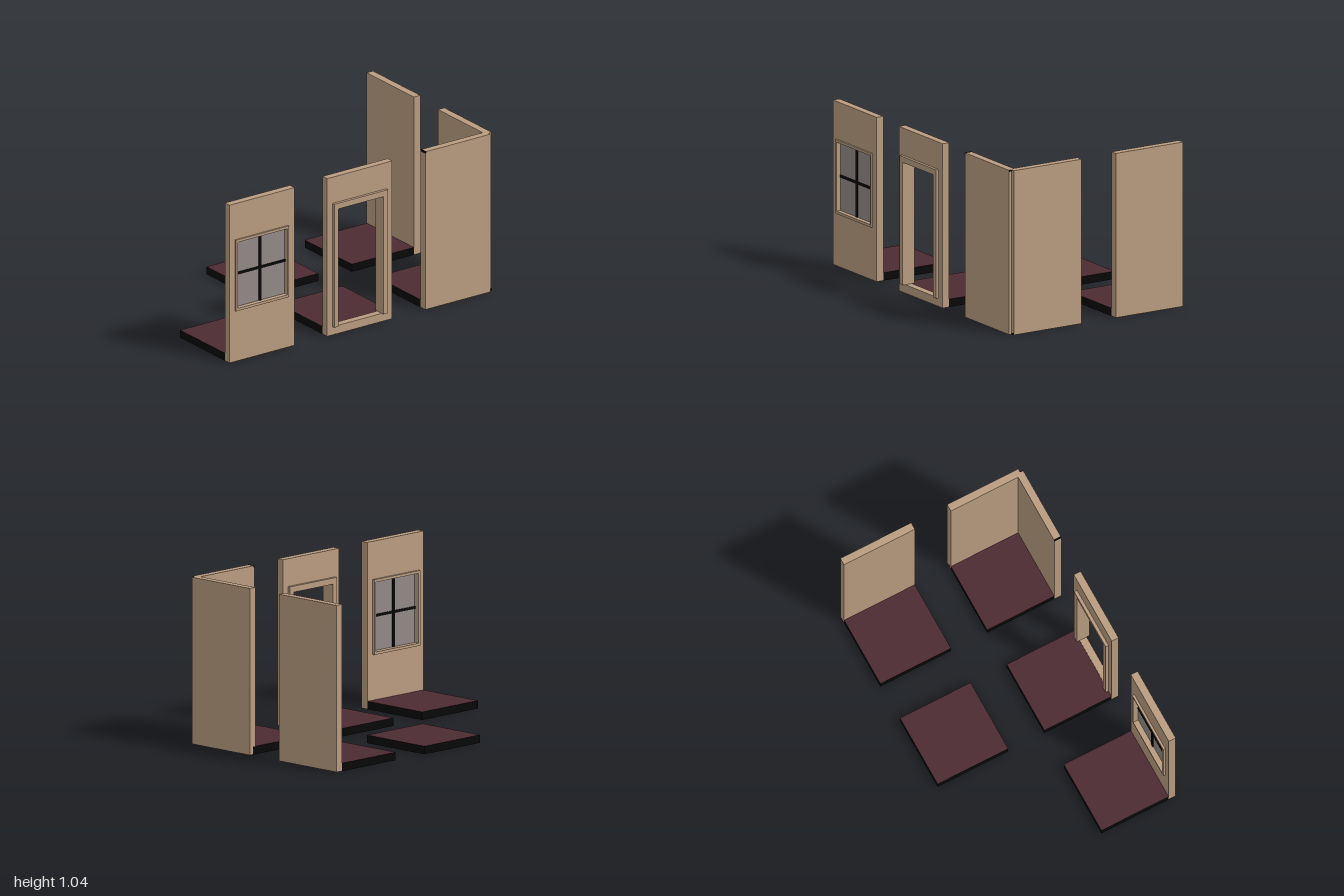
import * as THREE from 'three';

const mat = (name, color) => {
  const m = new THREE.MeshStandardMaterial({ color });
  m.name = name;
  return m;
};

export function createModel() {
  const wall = mat('tan plaster', 0xba9c80);
  const floor = mat('burgundy floor', 0x4e2b33);
  const black = mat('black', 0x080808);
  const glass = mat('grey glass', 0x938988);

  const root = new THREE.Group();
  root.name = 'roomTiles';

  const tile = (name) => {
    const g = new THREE.Group();
    g.name = name;
    root.add(g);
    return g;
  };

  // Box given by its minimum and maximum corners
  const box = (parent, name, material, a, b) => {
    const mesh = new THREE.Mesh(
      new THREE.BoxGeometry(b[0] - a[0], b[1] - a[1], b[2] - a[2]), material);
    mesh.position.set((a[0] + b[0]) / 2, (a[1] + b[1]) / 2, (a[2] + b[2]) / 2);
    mesh.name = name;
    parent.add(mesh);
    return mesh;
  };

  // Upright panel with a rectangular opening; rectangles are [x0, y0, x1, y1]
  const panel = (parent, name, outer, hole, z0, z1) => {
    const trace = (path, [x0, y0, x1, y1]) => {
      path.moveTo(x0, y0);
      path.lineTo(x1, y0);
      path.lineTo(x1, y1);
      path.lineTo(x0, y1);
      path.closePath();
      return path;
    };
    const shape = trace(new THREE.Shape(), outer);
    shape.holes.push(trace(new THREE.Path(), hole));
    const mesh = new THREE.Mesh(
      new THREE.ExtrudeGeometry(shape, { depth: z1 - z0, bevelEnabled: false }), wall);
    mesh.position.z = z0;
    mesh.name = name;
    parent.add(mesh);
  };

  // Square slab: burgundy on top, black on the sides and underneath
  const slabMaterials = [black, black, floor, black, black, black];
  const SIZE = 0.49;
  const slab = (parent, x, z) =>
    box(parent, 'floorSlab', slabMaterials, [x + 0.001, 0, z], [x + SIZE - 0.001, 0.05, z + SIZE]);

  const H = 1.043, B = 0.001;
  const ZI = 0.57, ZO = 0.618;
  const FRONT = 0.103, BACK = -0.638;
  const X = [-1, -0.26, 0.482];

  // Window tile
  const win = tile('windowTile');
  slab(win, X[0], FRONT);
  panel(win, 'windowWall', [-1, B, -0.508, H], [-0.945, 0.35, -0.565, 0.79], ZI, ZO);
  panel(win, 'windowFrame', [-0.957, 0.335, -0.555, 0.805], [-0.943, 0.352, -0.567, 0.788], 0.555, 0.628);
  box(win, 'windowPane', glass, [-0.945, 0.35, 0.59], [-0.565, 0.79, 0.598]);
  box(win, 'verticalBar', black, [-0.766, 0.35, 0.584], [-0.746, 0.79, 0.604]);
  box(win, 'horizontalBar', black, [-0.945, 0.563, 0.584], [-0.565, 0.579, 0.604]);

  // Doorway tile
  const door = tile('doorTile');
  slab(door, X[1], FRONT);
  panel(door, 'doorWall', [-0.26, B, 0.232, H], [-0.2, 0.055, 0.168, 0.845], ZI, ZO);
  const z0 = 0.55, z1 = 0.637;
  box(door, 'doorJamb', wall, [-0.22, 0.055, z0], [-0.187, 0.87, z1]);
  box(door, 'doorJamb', wall, [0.153, 0.055, z0], [0.188, 0.87, z1]);
  box(door, 'doorHead', wall, [-0.187, 0.832, z0], [0.153, 0.87, z1]);

  // Corner tile
  const corner = tile('cornerTile');
  slab(corner, X[2], FRONT);
  box(corner, 'frontWall', wall, [0.482, B, ZI], [0.975, H, ZO]);
  box(corner, 'sideWall', wall, [0.952, B, FRONT], [1, H, 0.597]);
  // Small dark marks on the wall ends
  box(corner, 'endMark', black, [0.48, 1.033, ZI], [0.49, H + 0.001, ZO + 0.001]);
  box(corner, 'endMark', black, [0.974, 1.033, 0.597], [0.977, H, ZO]);
  box(corner, 'endMark', black, [0.976, 0, 0.595], [1, 0.011, 0.599]);

  // Plain floor tile
  slab(tile('floorTile'), X[1], BACK);

  // Straight wall tile
  const straight = tile('wallTile');
  slab(straight, X[2], BACK);
  box(straight, 'sideWall', wall, [0.952, B, BACK - 0.001], [1, H, BACK + SIZE + 0.001]);

  return root;
}
